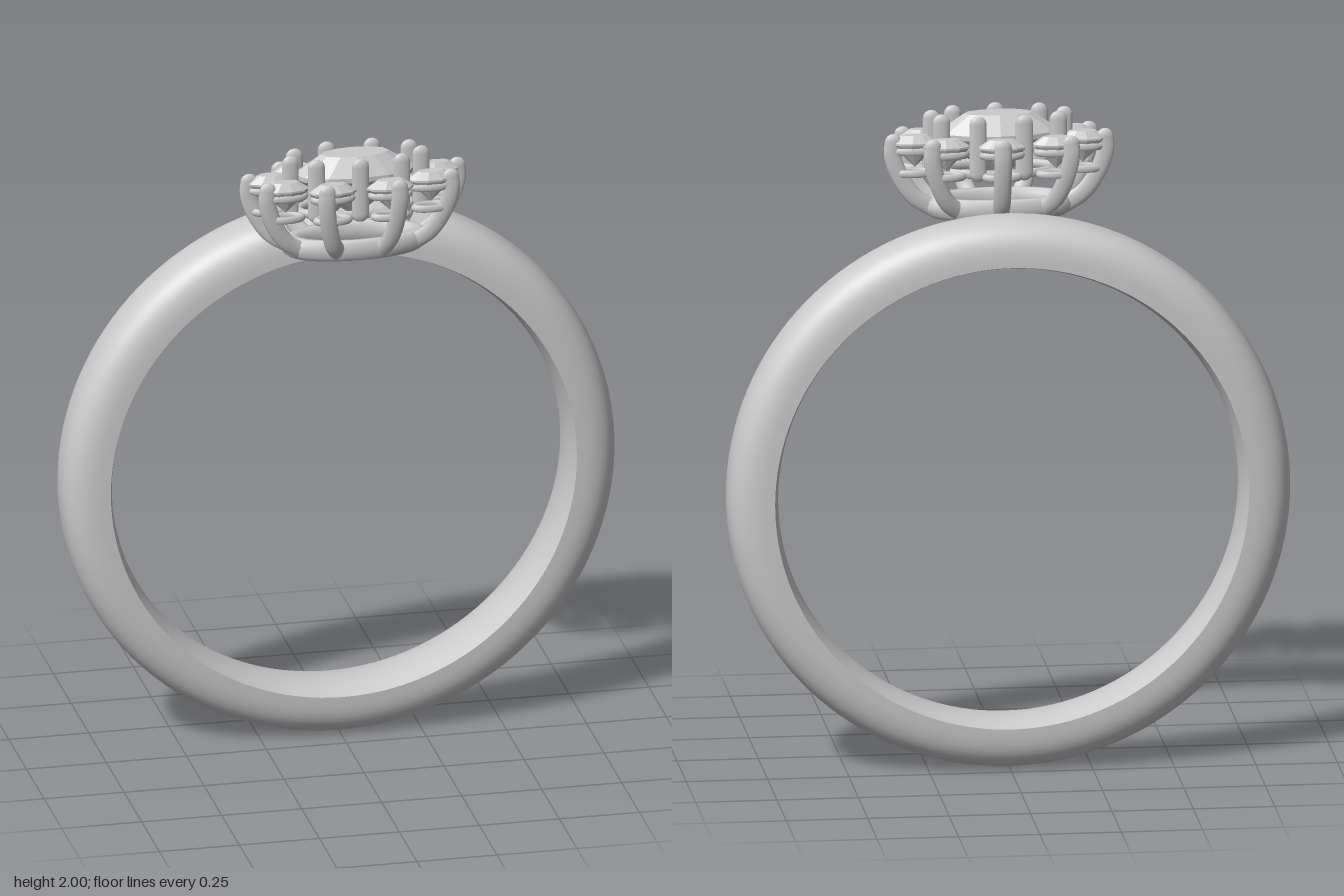
import * as THREE from 'three';

const material = new THREE.MeshStandardMaterial({ color: 0xcccccc });
const facetMaterial = new THREE.MeshStandardMaterial({ color: 0xcccccc, flatShading: true });

function addMesh(parent, name, geometry, mat = material) {
  const mesh = new THREE.Mesh(geometry, mat);
  mesh.name = name;
  parent.add(mesh);
  return mesh;
}

// Horizontal round wire
function addRing(parent, name, radius, wire, y) {
  const ring = addMesh(parent, name, new THREE.TorusGeometry(radius, wire, 10, 40));
  ring.rotation.x = Math.PI / 2;
  ring.position.y = y;
  return ring;
}

// Faceted stone; the girdle sits at local y = 0
function gemGeometry(radius, crown, depth, sides) {
  const profile = [[0, -depth], [radius, -0.04 * radius], [radius, 0.04 * radius],
    [radius * 0.55, crown], [0, crown]];
  return new THREE.LatheGeometry(profile.map(([r, y]) => new THREE.Vector2(r, y)), sides);
}

// Prong running outward along +z, with a rounded tip and foot
function prong(name, points, wire) {
  const group = new THREE.Group();
  group.name = name;
  const path = new THREE.CatmullRomCurve3(points.map(([r, y]) => new THREE.Vector3(0, y, r)));
  addMesh(group, 'prongWire', new THREE.TubeGeometry(path, 20, wire, 12));
  for (const t of [0, 1]) {
    addMesh(group, 'prongEnd', new THREE.SphereGeometry(wire, 12, 8)).position.copy(path.getPoint(t));
  }
  return group;
}

function createBand() {
  const band = new THREE.Group();
  band.name = 'band';
  const halfWidth = 0.112, edge = 0.728;
  // Domed outside
  const dome = [];
  for (let i = 0; i <= 24; i++) {
    const a = -Math.PI / 2 + (Math.PI * i) / 24;
    const s = Math.sin(a), c = Math.max(0, Math.cos(a));
    dome.push(new THREE.Vector2(edge + 0.137 * Math.pow(c, 0.75),
      Math.sign(s) * halfWidth * Math.pow(Math.abs(s), 0.75)));
  }
  addMesh(band, 'bandOutside', new THREE.LatheGeometry(dome, 128));
  // Slightly bulged inside
  const inside = [];
  for (let i = 0; i <= 10; i++) {
    const t = 1 - i / 5;
    inside.push(new THREE.Vector2(0.708 + (edge - 0.708) * t * t, t * halfWidth));
  }
  addMesh(band, 'bandInside', new THREE.LatheGeometry(inside, 128));
  band.rotation.x = Math.PI / 2;
  band.position.set(0, 0.868, -0.148);
  return band;
}

function createHead() {
  const head = new THREE.Group();
  head.name = 'head';
  addRing(head, 'baseRing', 0.195, 0.035, 1.7);

  // Centre stone and its seat
  addMesh(head, 'centreStone', gemGeometry(0.19, 0.065, 0.145, 12), facetMaterial).position.y = 1.925;
  addRing(head, 'centreSeat', 0.175, 0.014, 1.89);
  addRing(head, 'centreRail', 0.175, 0.014, 1.812);

  const count = 9;
  for (let i = 0; i < count; i++) {
    const step = (2 * Math.PI) / count;

    // Outer side: small stone, its two seat rings and a curved prong
    const petal = new THREE.Group();
    petal.name = 'petal';
    petal.rotation.y = Math.PI + i * step;
    const setting = new THREE.Group();
    setting.name = 'smallSetting';
    setting.position.z = 0.262;
    addMesh(setting, 'smallStone', gemGeometry(0.074, 0.026, 0.075, 10), facetMaterial).position.y = 1.905;
    addRing(setting, 'upperSeat', 0.058, 0.012, 1.882);
    addRing(setting, 'lowerSeat', 0.05, 0.012, 1.812);
    petal.add(setting);
    petal.add(prong('outerProng',
      [[0.2, 1.695], [0.262, 1.735], [0.308, 1.8], [0.332, 1.87], [0.33, 1.91]], 0.027));
    head.add(petal);

    // Straight prongs between the small stones
    const inner = prong('innerProng', [[0.207, 1.82], [0.207, 1.9], [0.207, 1.973]], 0.027);
    inner.rotation.y = i * step;
    head.add(inner);
  }
  // The cluster is a narrow oval
  head.scale.z = 0.405;
  head.position.z = 0.115;
  return head;
}

export function createModel() {
  const ring = new THREE.Group();
  ring.name = 'ring';
  ring.add(createBand(), createHead());
  return ring;
}
